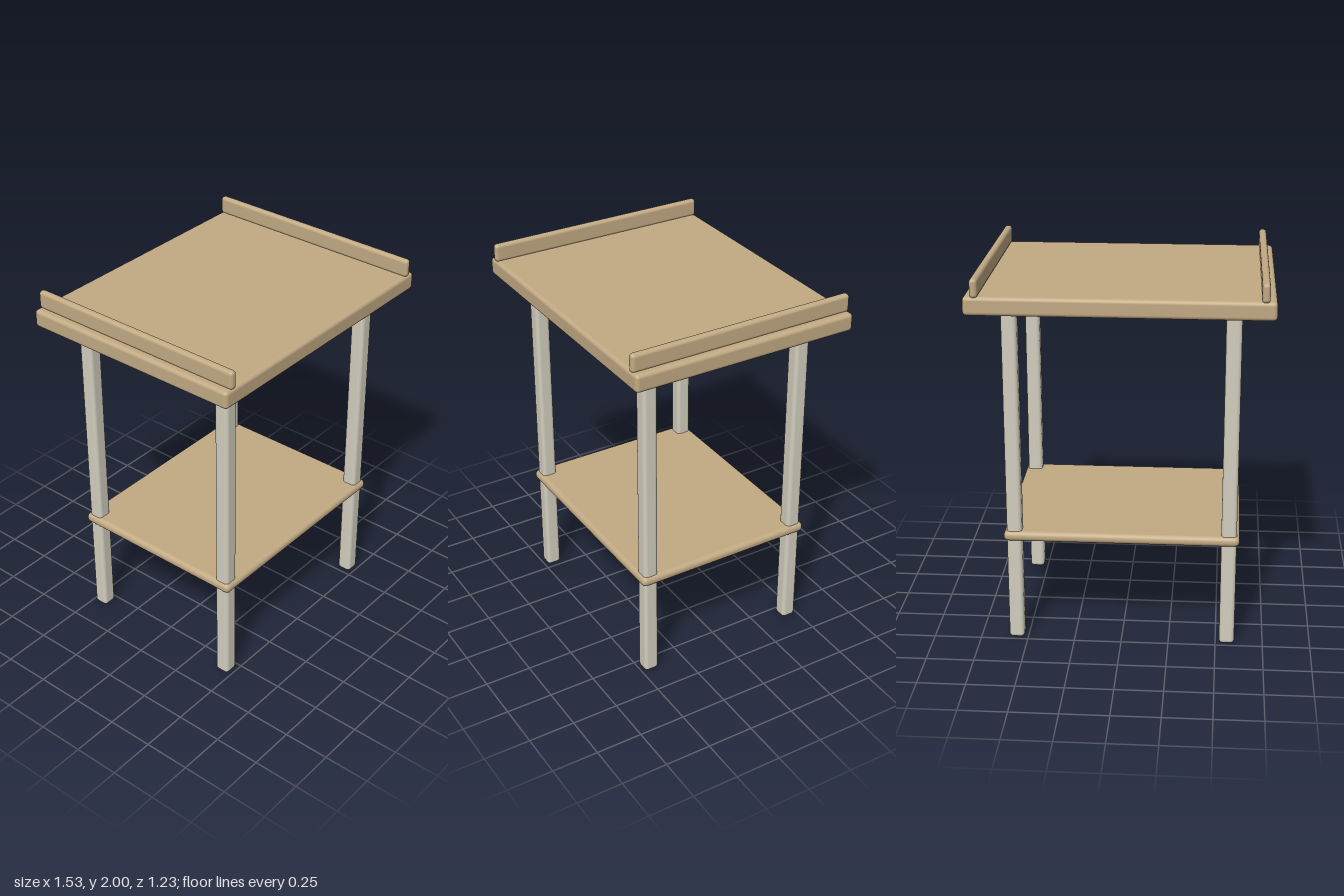
import * as THREE from 'three';
import { RoundedBoxGeometry } from 'three/addons/geometries/RoundedBoxGeometry.js';

export function createModel() {
  const model = new THREE.Group();
  model.name = 'sideTable';

  const wood = new THREE.MeshStandardMaterial({ color: 0xc2aa84 });
  wood.name = 'wood';
  const paint = new THREE.MeshStandardMaterial({ color: 0xd2cebe });
  paint.name = 'paleLegPaint';

  // Rounded slab spanning y0 to y1, centred on x and z
  function slab(name, material, [w, d], [y0, y1], radius, x = 0, z = 0) {
    const geometry = new RoundedBoxGeometry(w, y1 - y0, d, 3, radius);
    const mesh = new THREE.Mesh(geometry, material);
    mesh.name = name;
    mesh.position.set(x, (y0 + y1) / 2, z);
    model.add(mesh);
  }

  // Table top and lower shelf
  slab('tableTop', wood, [1.53, 1.234], [1.815, 1.91], 0.02);
  slab('lowerShelf', wood, [1.23, 1.0], [0.566, 0.62], 0.025);

  for (const side of [-1, 1]) {
    const sideName = side > 0 ? 'left' : 'right';

    // Raised rail along each side of the top
    slab(`${sideName}Rail`, wood, [0.04, 1.234], [1.903, 2], 0.018, side * 0.708);

    // Front and back legs
    for (const end of [-1, 1]) {
      const endName = end > 0 ? 'Front' : 'Back';
      slab(`${sideName}${endName}Leg`, paint, [0.08, 0.08], [0, 1.83], 0.02, side * 0.56, end * 0.444);
    }
  }

  return model;
}
